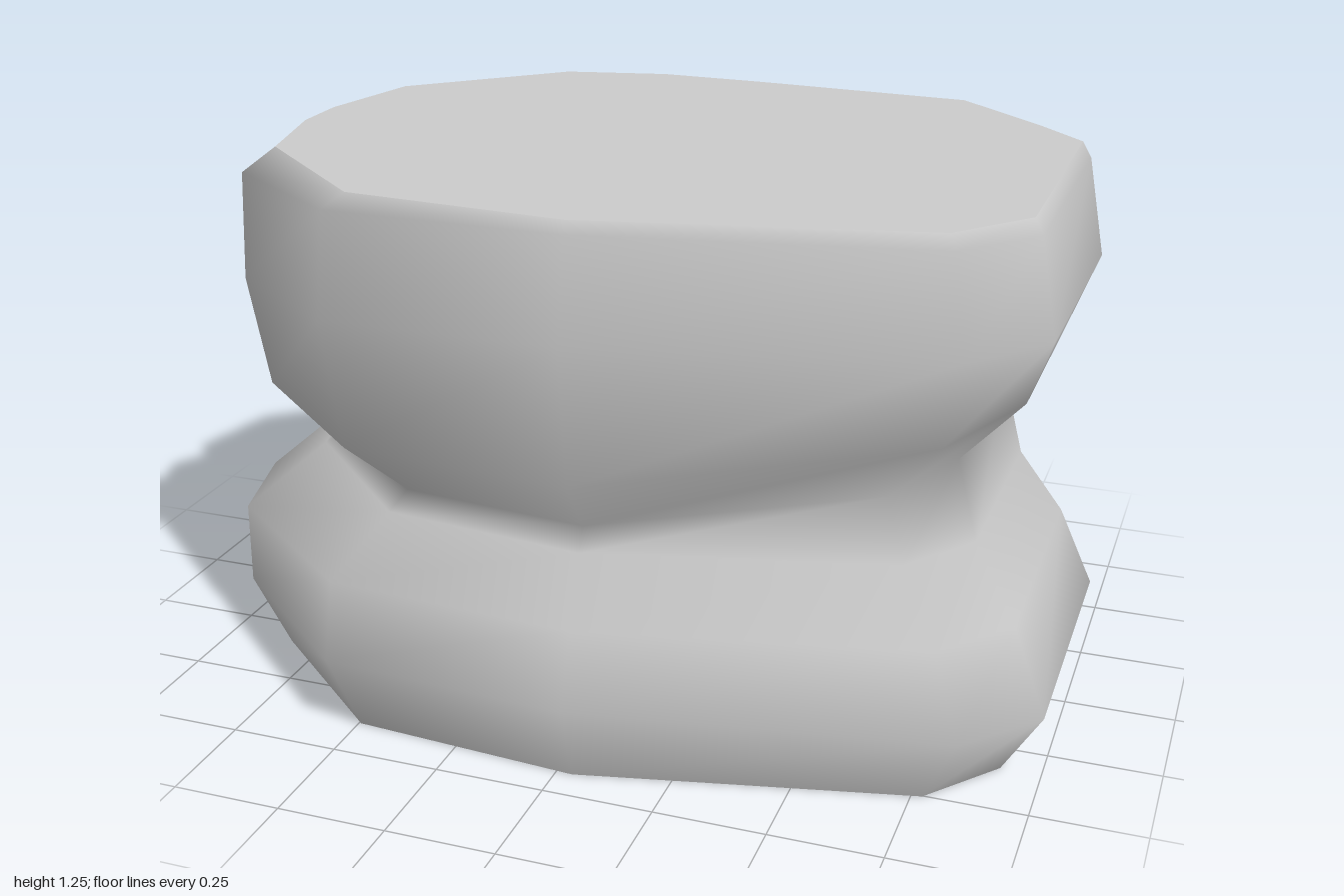
import * as THREE from 'three';

// Plan outline as fractions of each level's extents: [x, z], running +x, front, -x, back.
// A third value marks the dent column: its x fraction on the upper block.
const OUTLINE = [
  [1, 0.5], [0.85, 0.75], [0.04, 1], [-0.55, 0.94], [-0.93, 0.5],
  [-1, 0.12], [-1, -0.02, -0.94], [-1, -0.09], [-0.93, -0.48],
  [-0.55, -0.92], [-0.26, -1], [0.04, -0.99], [0.63, -0.94], [0.87, -0.65], [1, -0.47],
];

// Levels from base to top: [reach, height] toward +x, -x, front and back.
const LEVELS = [
  [[0.91, 0], [0.90, 0], [0.67, 0], [0.63, 0]],
  [[1.00, 0.15], [0.98, 0.17], [0.735, 0.19], [0.69, 0.19]],
  [[0.92, 0.35], [1.00, 0.35], [0.67, 0.35], [0.63, 0.35]],
  [[0.82, 0.52], [0.78, 0.54], [0.60, 0.50], [0.55, 0.42]],
  [[0.77, 0.73], [0.72, 0.58], [0.57, 0.55], [0.53, 0.57]],
  [[0.91, 0.90], [0.90, 0.68], [0.67, 0.68], [0.69, 0.76]],
  [[0.96, 1.00], [0.94, 0.92], [0.71, 1.00], [0.73, 0.88]],
  [[0.92, 1.21], [0.94, 1.17], [0.67, 1.22], [0.69, 1.20]],
  [[0.90, 1.245], [0.85, 1.245], [0.65, 1.245], [0.68, 1.245]],
];

function ringPoints(level, index) {
  const [right, left, front, back] = level;
  return OUTLINE.map(([u, v, dent]) => {
    const sx = u > 0 ? right : left;
    const sz = v > 0 ? front : back;
    const wx = u * u, wz = v * v;
    const y = (wx * sx[1] + wz * sz[1]) / (wx + wz);
    const ux = dent !== undefined && index > 4 && index < 8 ? dent : u;
    return new THREE.Vector3(ux * sx[0], y, v * sz[0]);
  });
}

function makeMesh(name, points, indices) {
  const geometry = new THREE.BufferGeometry().setFromPoints(points);
  geometry.setIndex(indices);
  geometry.computeVertexNormals();
  const mesh = new THREE.Mesh(geometry, new THREE.MeshStandardMaterial({ color: 0xcccccc }));
  mesh.name = name;
  return mesh;
}

// Flat fan closing one end of the body
function makeCap(name, ring, up) {
  const n = ring.length;
  const points = [new THREE.Vector3(0, ring[0].y, 0), ...ring];
  const indices = [];
  for (let i = 0; i < n; i++) {
    const a = 1 + i, b = 1 + (i + 1) % n;
    indices.push(0, ...(up ? [b, a] : [a, b]));
  }
  return makeMesh(name, points, indices);
}

export function createModel() {
  const group = new THREE.Group();
  group.name = 'waistedStone';
  const rings = LEVELS.map(ringPoints);
  const n = OUTLINE.length;

  // Smooth body lofted through all levels
  const indices = [];
  for (let r = 0; r < rings.length - 1; r++) {
    for (let c = 0; c < n; c++) {
      const a = r * n + c, b = r * n + (c + 1) % n;
      indices.push(a, a + n, b, b, a + n, b + n);
    }
  }
  group.add(makeMesh('body', rings.flat(), indices));

  // Flat ends
  group.add(makeCap('topFace', rings[rings.length - 1], true));
  group.add(makeCap('baseFace', rings[0], false));
  return group;
}
